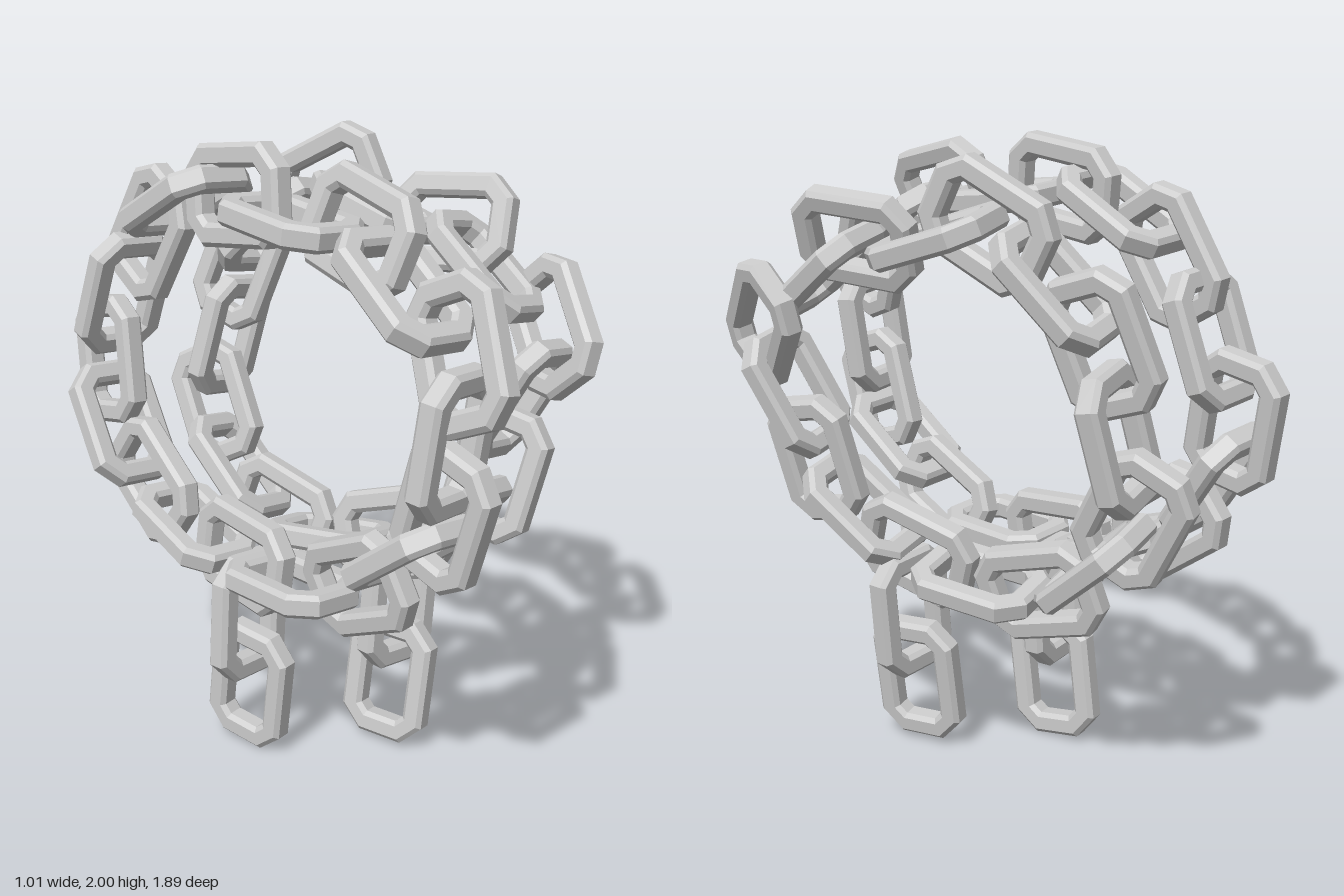
import * as THREE from 'three';

// Rectangle with cut corners, used for the outer rim and the hole
function cutRectangle(target, w, h, c) {
  const x = w / 2, y = h / 2;
  target.moveTo(x, y - c);
  [[x - c, y], [c - x, y], [-x, y - c], [-x, c - y], [c - x, -y], [x - c, -y], [x, c - y]]
    .forEach(([px, py]) => target.lineTo(px, py));
  target.closePath();
  return target;
}

// One chain link: long along y, flat in z, with chamfered edges
function linkGeometry() {
  const bevel = 0.014;
  const shape = cutRectangle(new THREE.Shape(), 0.3 - 2 * bevel, 0.42 - 2 * bevel, 0.064);
  shape.holes.push(cutRectangle(new THREE.Path(), 0.158 + 2 * bevel, 0.278 + 2 * bevel, 0.033));
  const geo = new THREE.ExtrudeGeometry(shape, {
    depth: 0.046, bevelEnabled: true, bevelThickness: bevel, bevelSize: bevel, bevelSegments: 1,
  });
  return geo.translate(0, 0, -0.023);
}

export function createModel() {
  const model = new THREE.Group();
  model.name = 'chains';
  const geo = linkGeometry();
  const mat = new THREE.MeshStandardMaterial({ color: 0xcccccc, flatShading: true });

  // Adds links [x, y, z, angle in the z-y plane, own normal if it is rolled];
  // every second link is turned by 90 degrees
  function chain(name, normal, links, firstTurned = false) {
    const group = new THREE.Group();
    group.name = name;
    links.forEach(([x, y, z, degrees, ownNormal = normal], i) => {
      const n = new THREE.Vector3(...ownNormal).normalize();
      const a = THREE.MathUtils.degToRad(degrees);
      const dy = Math.sin(a), dz = -Math.cos(a);
      const along = new THREE.Vector3(-(n.y * dy + n.z * dz) / n.x, dy, dz).normalize();
      const side = new THREE.Vector3().crossVectors(along, n);
      const basis = new THREE.Matrix4();
      if ((i % 2 === 1) !== firstTurned) basis.makeBasis(n.clone().negate(), along, side);
      else basis.makeBasis(side, along, n);
      const link = new THREE.Mesh(geo, mat);
      link.name = name + 'Link' + (i + 1);
      link.quaternion.setFromRotationMatrix(basis);
      link.position.set(x, y, z);
      group.add(link);
    });
    model.add(group);
  }

  // Large loop on the right
  chain('rightLoop', [1, -0.09, 0.02], [
    [-0.285, 1.80, 0.375, 12, [1, -0.3, 0.04]], [-0.31, 1.68, 0.56, 35],
    [-0.29, 1.54, 0.75, 65, [1, -0.2, 0]], [-0.28, 1.285, 0.72, 95, [1, -0.09, -0.15]],
    [-0.285, 1.07, 0.70, 107, [1, 0, 0]], [-0.28, 0.92, 0.575, 143],
    [-0.28, 0.75, 0.37, 155, [1, 0.1, 0]], [-0.32, 0.68, 0.12, 178], [-0.31, 0.69, -0.12, 5],
    [-0.33, 0.73, -0.34, 18], [-0.34, 0.83, -0.54, 35], [-0.34, 0.99, -0.70, 55],
    [-0.32, 1.19, -0.775, 79], [-0.31, 1.43, -0.69, 108], [-0.31, 1.65, -0.53, 120],
    [-0.32, 1.78, -0.34, 150], [-0.31, 1.83, -0.11, 172], [-0.31, 1.79, 0.12, 5],
  ]);

  // Slanted loop on the left
  chain('leftLoop', [1, -0.2, -0.2], [
    [0.31, 1.70, 0.16, 175, [1, -0.4, -0.2]], [0.31, 1.59, 0.30, 38],
    [0.41, 1.42, 0.49, 48, [1, -0.25, 0.2]],
    [0.315, 1.20, 0.45, 115], [0.26, 0.97, 0.42, 98], [0.17, 0.81, 0.30, 139],
    [0.13, 0.70, 0.10, 162], [0.08, 0.64, -0.13, 174], [0.06, 0.66, -0.36, 15],
    [0.03, 0.78, -0.54, 40], [0.07, 0.96, -0.71, 60], [0.12, 1.20, -0.69, 98],
    [0.13, 1.46, -0.63, 106], [0.16, 1.61, -0.49, 132], [0.235, 1.77, -0.30, 152, [1, -0.05, -0.2]],
    [0.23, 1.72, -0.09, 17],
  ]);

  // Two links hanging from each loop
  chain('rightHanging', [1, -0.07, -0.12], [
    [-0.295, 0.48, -0.12, 90], [-0.285, 0.22, -0.13, 97, [1, 0, -0.17]],
  ], true);
  chain('leftHanging', [1, -0.1, 0], [
    [0.11, 0.48, 0.15, 90], [0.065, 0.23, 0.16, 90, [1, -0.15, -0.25]],
  ], true);
  return model;
}
